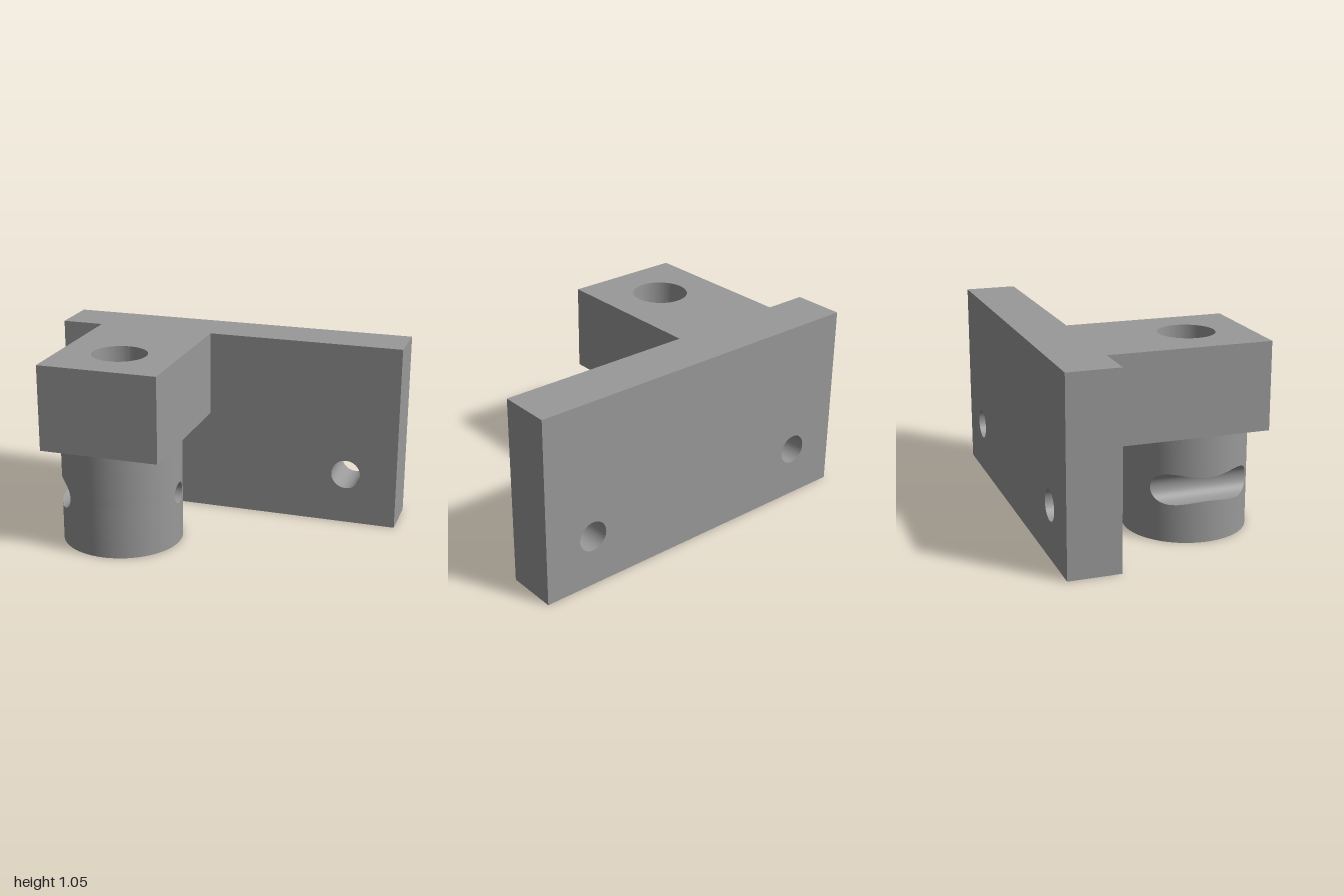
import * as THREE from 'three';
import { mergeVertices, toCreasedNormals } from 'three/addons/utils/BufferGeometryUtils.js';

const HEIGHT = 1.05, BLOCK_Y = 0.575;            // overall height, underside of block
const BACK = -0.585, PLATE_Z = -0.3, FRONT = 0.585;
const CX = -0.43, CZ = 0.25;                     // post axis
const R = 0.333, BORE = 0.153;                   // post and bore radii
const HOLE_Y = 0.29, BOLT_X = 0.71, BOLT_R = 0.083, PIN_R = 0.06;

const half = (r, d) => Math.sqrt(Math.max(0, r * r - d * d));

// Rectangle outline with round holes [x, y, radius]
function rectWithHoles(x0, y0, x1, y1, holes) {
  const shape = new THREE.Shape();
  shape.moveTo(x0, y0).lineTo(x1, y0).lineTo(x1, y1).lineTo(x0, y1).closePath();
  for (const [x, y, r] of holes) {
    shape.holes.push(new THREE.Path().absarc(x, y, r, 0, Math.PI * 2, true));
  }
  return shape;
}

function extrude(shape, depth) {
  const geo = new THREE.ExtrudeGeometry(shape, { depth, bevelEnabled: false, curveSegments: 48 });
  return toCreasedNormals(geo, 0.5);
}

// Smooth surface ruled between pairs of points
function ruled(pairs) {
  const pos = [], index = [];
  pairs.forEach(([p, q], i) => {
    pos.push(...p, ...q);
    if (i > 0) {
      const a = 2 * i - 2;
      index.push(a, a + 2, a + 1, a + 2, a + 3, a + 1);
    }
  });
  const geo = new THREE.BufferGeometry();
  geo.setAttribute('position', new THREE.Float32BufferAttribute(pos, 3));
  geo.setIndex(index);
  const merged = mergeVertices(geo, 1e-5);
  merged.computeVertexNormals();
  return merged;
}

// Angles through the given stops, packed closely near each stop
function angles(stops, n = 48) {
  const list = [stops[0]];
  for (let s = 1; s < stops.length; s++) {
    for (let i = 1; i <= n; i++) {
      const t = (1 - Math.cos((Math.PI * i) / n)) / 2;
      list.push(stops[s - 1] + (stops[s] - stops[s - 1]) * t);
    }
  }
  return list;
}

export function createModel() {
  const group = new THREE.Group();
  const grey = new THREE.MeshStandardMaterial({ color: 0x999999 });
  grey.name = 'grey metal';
  const add = (name, geo, parent = group) => {
    const mesh = new THREE.Mesh(geo, grey);
    mesh.name = name;
    parent.add(mesh);
    return mesh;
  };

  // Back plate with two bolt holes
  const bolts = [-BOLT_X, BOLT_X].map((x) => [x, HOLE_Y, BOLT_R]);
  add('backPlate', extrude(rectWithHoles(-1, 0, 1, HEIGHT, bolts), PLATE_Z - BACK))
    .position.z = BACK;

  // Block standing out from the plate, bored vertically
  const blockShape = rectWithHoles(CX - R, -FRONT, CX + R, -PLATE_Z, [[CX, -CZ, BORE]]);
  add('block', extrude(blockShape, HEIGHT - BLOCK_Y).rotateX(-Math.PI / 2))
    .position.y = BLOCK_Y;

  // Hollow post under the block
  const post = new THREE.Group();
  post.name = 'post';
  group.add(post);

  // Half height of the opening cut into a wall at a given angle
  const opening = (x, z) => Math.max(
    half(BOLT_R, x + BOLT_X),
    x > CX ? half(PIN_R, z - CZ) : 0,
  );
  const wall = (name, r, list) => {
    const columns = list.map((t) => {
      const x = CX + r * Math.cos(t), z = CZ - r * Math.sin(t);
      return { x, z, h: opening(x, z) };
    });
    add(name + 'Lower', ruled(columns.map(({ x, z, h }) => [[x, 0, z], [x, HOLE_Y - h, z]])), post);
    add(name + 'Upper', ruled(columns.map(({ x, z, h }) => [[x, HOLE_Y + h, z], [x, BLOCK_Y, z]])), post);
  };
  const pinOuter = Math.asin(PIN_R / R), pinInner = Math.asin(PIN_R / BORE);
  const groove = Math.acos((CX + BOLT_X - BOLT_R) / R);
  const full = Math.PI * 2;
  wall('outerWall', R, angles([-pinOuter, pinOuter, Math.PI - groove, Math.PI + groove, full - pinOuter]));
  wall('boreWall', BORE, angles([-pinInner, pinInner, full - pinInner]).reverse());

  // Ring face at the foot of the post
  add('postFoot', new THREE.RingGeometry(BORE, R, 128).rotateX(Math.PI / 2), post)
    .position.set(CX, 0, CZ);

  // Pin hole from the side into the bore
  add('pinHole', ruled(angles([0, full], 64).map((a) => {
    const y = HOLE_Y + PIN_R * Math.sin(a), dz = PIN_R * Math.cos(a);
    return [[CX + half(BORE, dz), y, CZ + dz], [CX + half(R, dz), y, CZ + dz]];
  })), post);

  // Groove where the bolt path cuts the side of the post
  const end = Math.acos((CX - R + BOLT_X) / BOLT_R);
  add('boltGroove', ruled(angles([-end, end], 64).map((a) => {
    const x = -BOLT_X + BOLT_R * Math.cos(a), y = HOLE_Y + BOLT_R * Math.sin(a);
    const dz = half(R, x - CX);
    return [[x, y, CZ + dz], [x, y, CZ - dz]];
  })), post);

  return group;
}
